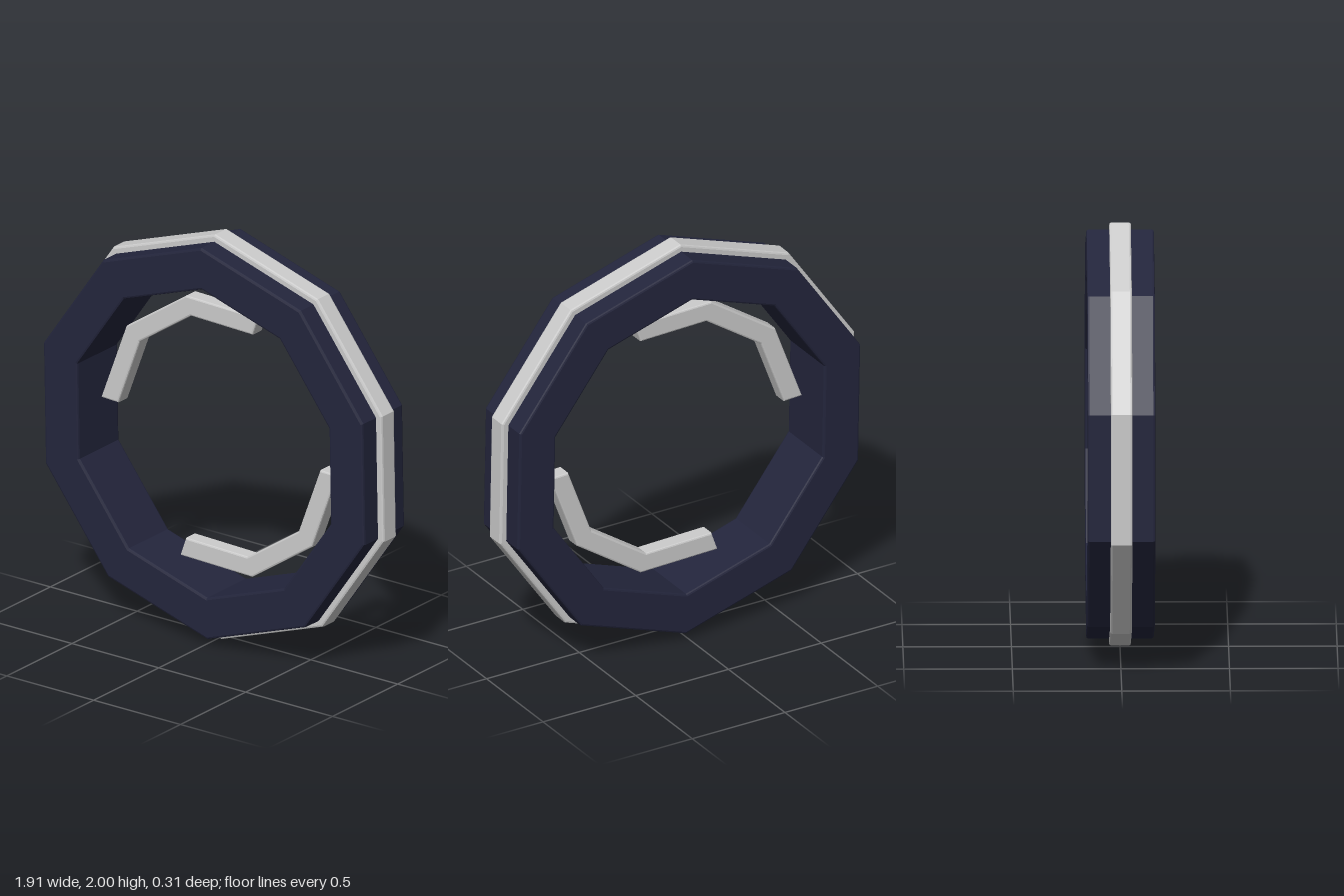
import * as THREE from 'three';

const DEG = Math.PI / 180;
const SIDES = 10;
const TILT = 91.1; // angle of the top corner

// Corners along an arc, angles in degrees
function corners(radius, start, step, count) {
  return Array.from({ length: count }, (_, i) => {
    const a = (start + i * step) * DEG;
    return new THREE.Vector2(radius * Math.cos(a), radius * Math.sin(a));
  });
}

// Extrude a shape, centred on z, with small bevels kept inside the outline
function slab(shape, depth, bevel) {
  const geometry = new THREE.ExtrudeGeometry(shape, {
    depth: depth - 2 * bevel,
    steps: 1,
    bevelEnabled: true,
    bevelThickness: bevel,
    bevelSize: bevel,
    bevelOffset: -bevel,
    bevelSegments: 2,
  });
  geometry.translate(0, 0, bevel - depth / 2);
  return geometry;
}

// Ten-sided ring
function ring(outer, inner, depth, bevel) {
  const shape = new THREE.Shape(corners(outer, TILT, 360 / SIDES, SIDES));
  shape.holes.push(new THREE.Path(corners(inner, TILT, -360 / SIDES, SIDES)));
  return slab(shape, depth, bevel);
}

// Three-segment angular arc
function arc(outer, inner, depth, bevel) {
  const start = 70.8, step = 35.5;
  return slab(new THREE.Shape([
    ...corners(outer, start, step, 4),
    ...corners(inner, start, step, 4).reverse(),
  ]), depth, bevel);
}

export function createModel() {
  const model = new THREE.Group();
  model.name = 'segmentedRing';
  const grey = new THREE.MeshStandardMaterial({ color: 0xcccccc, flatShading: true });
  const navy = new THREE.MeshStandardMaterial({ color: 0x23253c, flatShading: true });

  const add = (name, geometry, material) => {
    const mesh = new THREE.Mesh(geometry, material);
    mesh.name = name;
    mesh.position.y = 1;
    model.add(mesh);
    return mesh;
  };

  // Dark body and the thin band around its rim
  add('ringBody', ring(0.966, 0.762, 0.312, 0.01), navy);
  add('outerBand', ring(1.0, 0.9, 0.1, 0.01), grey);

  // Two floating arcs inside, half a turn apart
  const arcGeometry = arc(0.68, 0.582, 0.08, 0.008);
  add('upperInnerArc', arcGeometry, grey);
  add('lowerInnerArc', arcGeometry, grey).rotation.z = Math.PI;

  return model;
}
